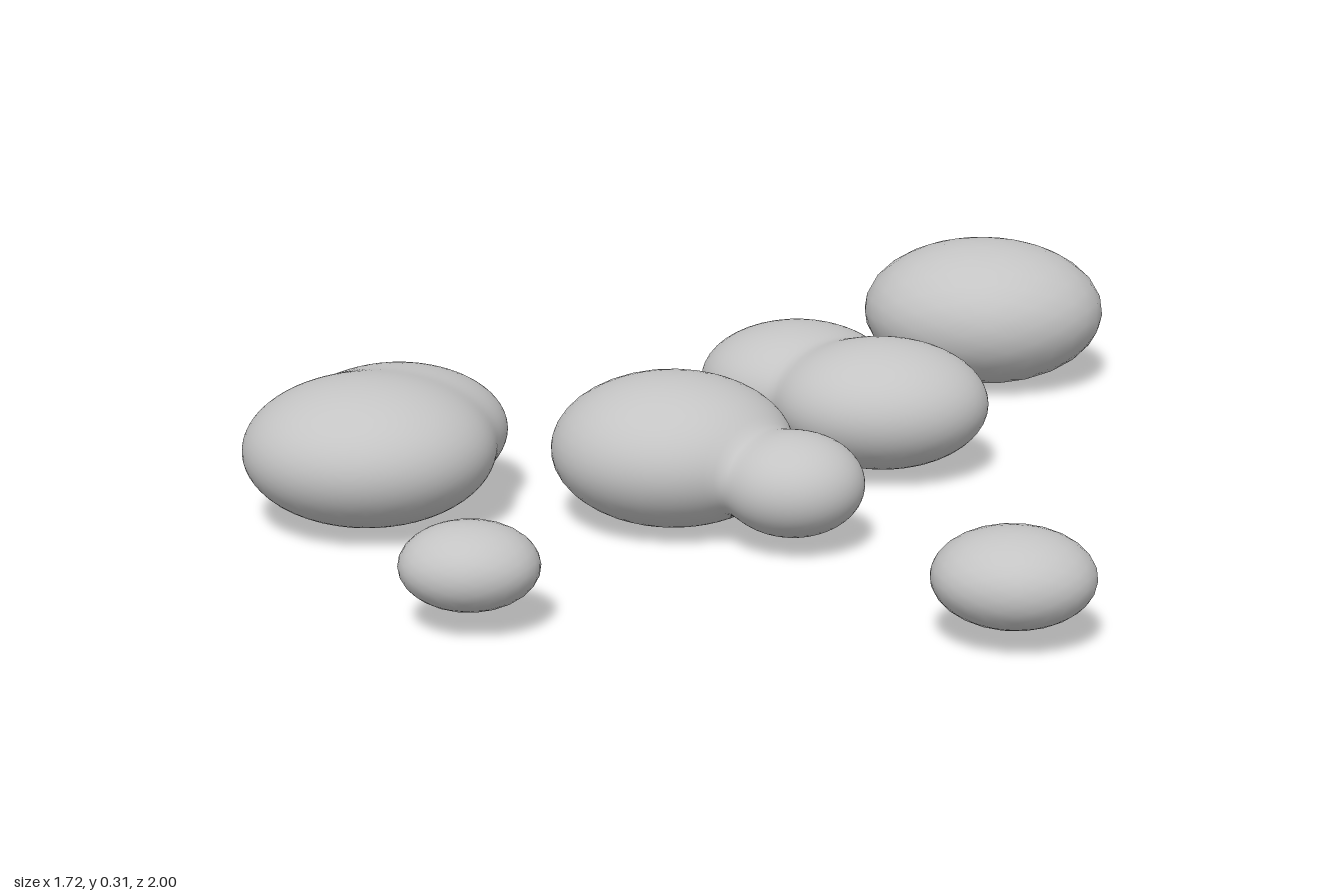
import * as THREE from 'three';
import { mergeVertices } from 'three/addons/utils/BufferGeometryUtils.js';

// Each lobe: centre [x, y, z] and radii [x, y, z]
const lobe = (c, r) => ({ c: new THREE.Vector3(...c), r: new THREE.Vector3(...r) });

// Soft union of ellipsoids: negative inside, positive outside
const BLEND = 14;
function field(p, lobes) {
  let sum = 0;
  for (const { c, r } of lobes) {
    const d = p.clone().sub(c).divide(r).length() - 1;
    sum += Math.exp(-BLEND * d);
  }
  return -Math.log(sum) / BLEND;
}

// Push a sphere's vertices along rays from the origin until they meet the soft union
function blobGeometry(lobes, origin, detail) {
  let geo = new THREE.IcosahedronGeometry(1, detail);
  geo.deleteAttribute('normal');
  geo.deleteAttribute('uv');
  geo = mergeVertices(geo, 1e-4);
  const pos = geo.attributes.position;
  const squash = new THREE.Vector3(1, 0.62, 0.9);
  const dir = new THREE.Vector3();
  const p = new THREE.Vector3();
  for (let i = 0; i < pos.count; i++) {
    dir.fromBufferAttribute(pos, i).multiply(squash).normalize();
    let near = 0, far = 1;
    for (let k = 0; k < 26; k++) {
      const mid = (near + far) / 2;
      p.copy(origin).addScaledVector(dir, mid);
      if (field(p, lobes) < 0) near = mid; else far = mid;
    }
    p.copy(origin).addScaledVector(dir, near);
    pos.setXYZ(i, p.x, p.y, p.z);
  }
  geo.computeVertexNormals();
  return geo;
}

export function createModel() {
  const group = new THREE.Group();
  const stone = new THREE.MeshStandardMaterial({ color: 0xc4c4c4 });
  stone.name = 'stone grey';

  // t: where the ray origin sits between the two lobes of a double pebble
  const pebbles = [
    { name: 'largeBackPebble', lobes: [lobe([0.6, 0.157, -0.78], [0.262, 0.157, 0.222])] },
    { name: 'smallFrontRightPebble', lobes: [lobe([-0.355, 0.122, 0.85], [0.128, 0.08, 0.11])] },
    { name: 'smallFrontLeftPebble', lobes: [lobe([0.607, 0.125, 0.87], [0.148, 0.09, 0.128])] },
    {
      name: 'doubleBackPebble', t: 0.48,
      lobes: [lobe([0.203, 0.145, -0.268], [0.2, 0.118, 0.182]), lobe([0.375, 0.145, -0.105], [0.217, 0.13, 0.185])],
    },
    {
      name: 'doubleRightPebble', t: 0.5,
      lobes: [lobe([-0.613, 0.153, 0.28], [0.245, 0.143, 0.222]), lobe([-0.575, 0.15, 0.135], [0.215, 0.125, 0.19])],
    },
    {
      name: 'doubleMiddlePebble', t: 0.67,
      lobes: [lobe([-0.028, 0.153, 0.242], [0.236, 0.147, 0.21]), lobe([0.208, 0.13, 0.382], [0.137, 0.1, 0.128])],
    },
  ];

  for (const { name, lobes, t } of pebbles) {
    const origin = lobes[0].c.clone();
    if (lobes[1]) origin.lerp(lobes[1].c, t);
    const mesh = new THREE.Mesh(blobGeometry(lobes, origin, lobes[1] ? 11 : 4), stone);
    mesh.name = name;
    group.add(mesh);
  }
  return group;
}
